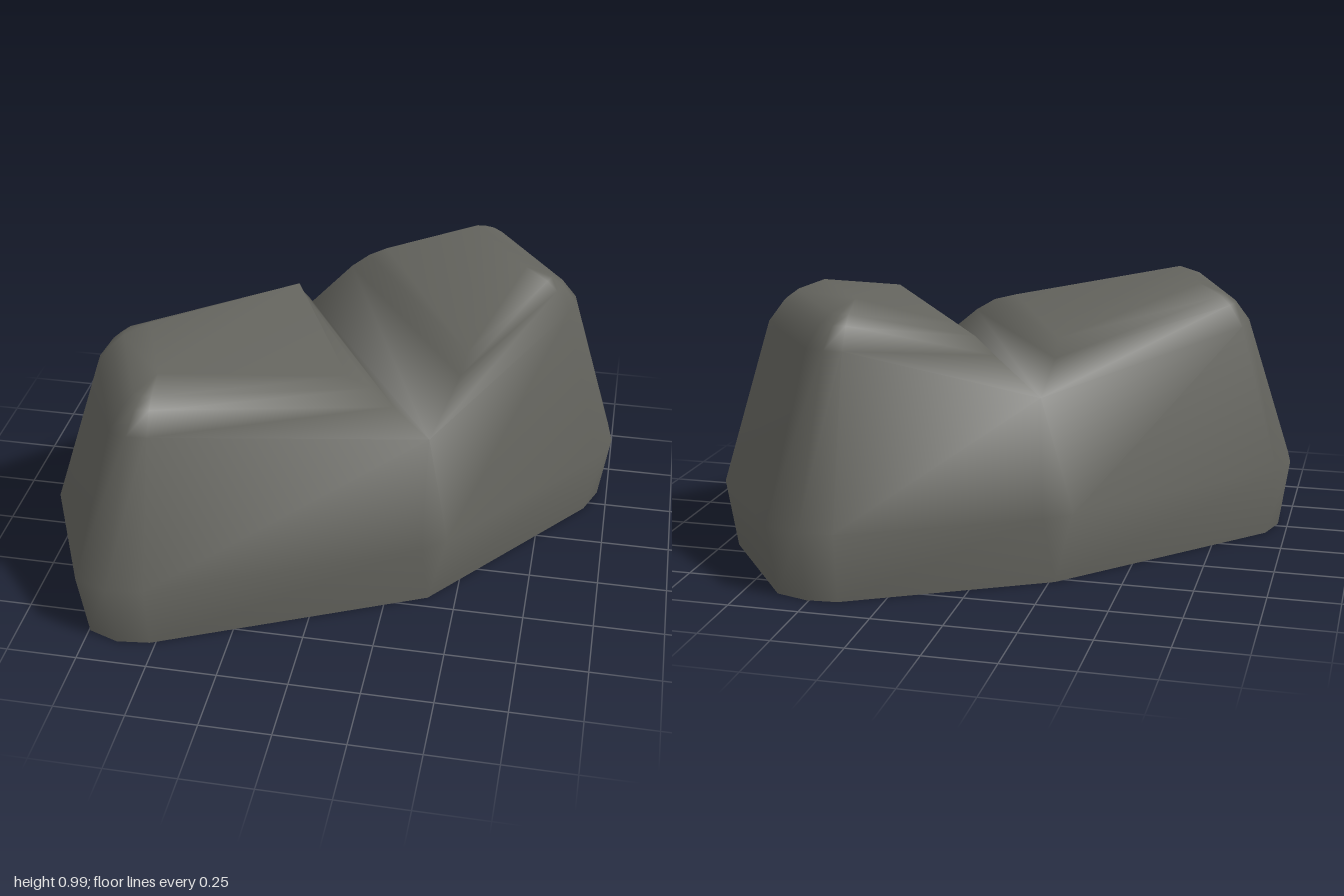
import * as THREE from 'three';
import { mergeVertices } from 'three/addons/utils/BufferGeometryUtils.js';

const stone = new THREE.MeshStandardMaterial({ color: 0x64645e });
stone.name = 'darkStone';

const mix = (a, b, t) => a + (b - a) * t;

// Rounded end corner: three upright columns that lean in to one rim point.
// Each column has six levels: base, bulge, three shoulder steps, rim.
function cornerColumns(outline, [rx, ry, rz]) {
  const steps = [[0.1, 0], [0, 0.25], [0.47, ry - 0.145], [0.62, ry - 0.07], [0.74, ry - 0.037], [1, ry]];
  return outline.map(([x, z]) => steps.map(([t, y]) => [mix(x, rx, t), y, mix(z, rz, t)]));
}

// The crease between the lobes meets the front and back flanks here
const frontBase = [0.4, 0, 0.45], frontCrease = [0.38, 0.645, 0.39];
const backBase = [-0.27, 0, -0.53], backCrease = [-0.21, 0.65, -0.5];

// Columns of each lobe, clockwise from above, from crease to crease
const rightLobe = [
  [frontBase, [0.38, 0.25, 0.5], frontCrease, [0.25, 0.755, 0.375], [0.17, 0.805, 0.35], [0.08, 0.832, 0.33]],
  ...cornerColumns([[-0.52, 0.91], [-0.65, 0.925], [-0.77, 0.88]], [-0.52, 0.925, 0.58]),
  ...cornerColumns([[-0.98, 0.41], [-1, 0.28], [-0.96, 0.15]], [-0.64, 0.925, 0.25]),
  [backBase, [-0.33, 0.25, -0.52], backCrease, [-0.235, 0.765, -0.39], [-0.23, 0.82, -0.32], [-0.21, 0.855, -0.26]],
];
const leftLobe = [
  [backBase, [-0.24, 0.25, -0.59], backCrease, [-0.06, 0.8, -0.54], [0.01, 0.86, -0.53], [0.08, 0.9, -0.52]],
  ...cornerColumns([[0.4, -0.92], [0.52, -0.93], [0.65, -0.89]], [0.41, 0.985, -0.6]),
  ...cornerColumns([[0.98, -0.45], [1, -0.33], [0.95, -0.2]], [0.63, 0.985, -0.3]),
  [frontBase, [0.46, 0.25, 0.43], frontCrease, [0.46, 0.81, 0.22], [0.475, 0.865, 0.15], [0.47, 0.9, 0.08]],
];

function buildGeometry(faces) {
  const positions = [];
  const distinct = (p, q) => p.some((v, i) => Math.abs(v - q[i]) > 1e-5);
  for (const [a, b, c, d] of faces) {
    for (const t of d ? [[a, b, c], [a, c, d]] : [[a, b, c]]) {
      if (distinct(t[0], t[1]) && distinct(t[1], t[2]) && distinct(t[2], t[0])) positions.push(...t.flat());
    }
  }
  const soup = new THREE.BufferGeometry();
  soup.setAttribute('position', new THREE.Float32BufferAttribute(positions, 3));
  const geometry = mergeVertices(soup, 1e-4);
  geometry.computeVertexNormals();
  return geometry;
}

export function createModel() {
  const group = new THREE.Group();
  group.name = 'boulder';
  const faces = [];

  // Flank between two neighbouring columns
  const flank = (a, b, top) => {
    for (let k = 0; k < top; k++) faces.push([b[k], a[k], a[k + 1], b[k + 1]]);
  };

  for (const lobe of [rightLobe, leftLobe]) {
    const first = lobe[0], last = lobe[lobe.length - 1];
    for (let i = 0; i < lobe.length - 1; i++) flank(lobe[i], lobe[i + 1], 5);
    // Crown
    faces.push([last[5], lobe[4][5], lobe[1][5], first[5]]);
    // Slope down into the crease
    for (let k = 5; k > 2; k--) faces.push([first[k], first[k - 1], last[k - 1], last[k]]);
  }
  // Narrow bevels below the crease at front and back
  flank(leftLobe[7], rightLobe[0], 2);
  flank(rightLobe[7], leftLobe[0], 2);

  const body = new THREE.Mesh(buildGeometry(faces), stone);
  body.name = 'twoLobedBody';

  // Flat underside
  const rim = [...rightLobe, ...leftLobe].map((column) => column[0]);
  const baseFaces = rim.map((p, i) => [[0, 0, 0], p, rim[(i + 1) % rim.length]]);
  const base = new THREE.Mesh(buildGeometry(baseFaces), stone);
  base.name = 'underside';

  group.add(body, base);
  return group;
}
